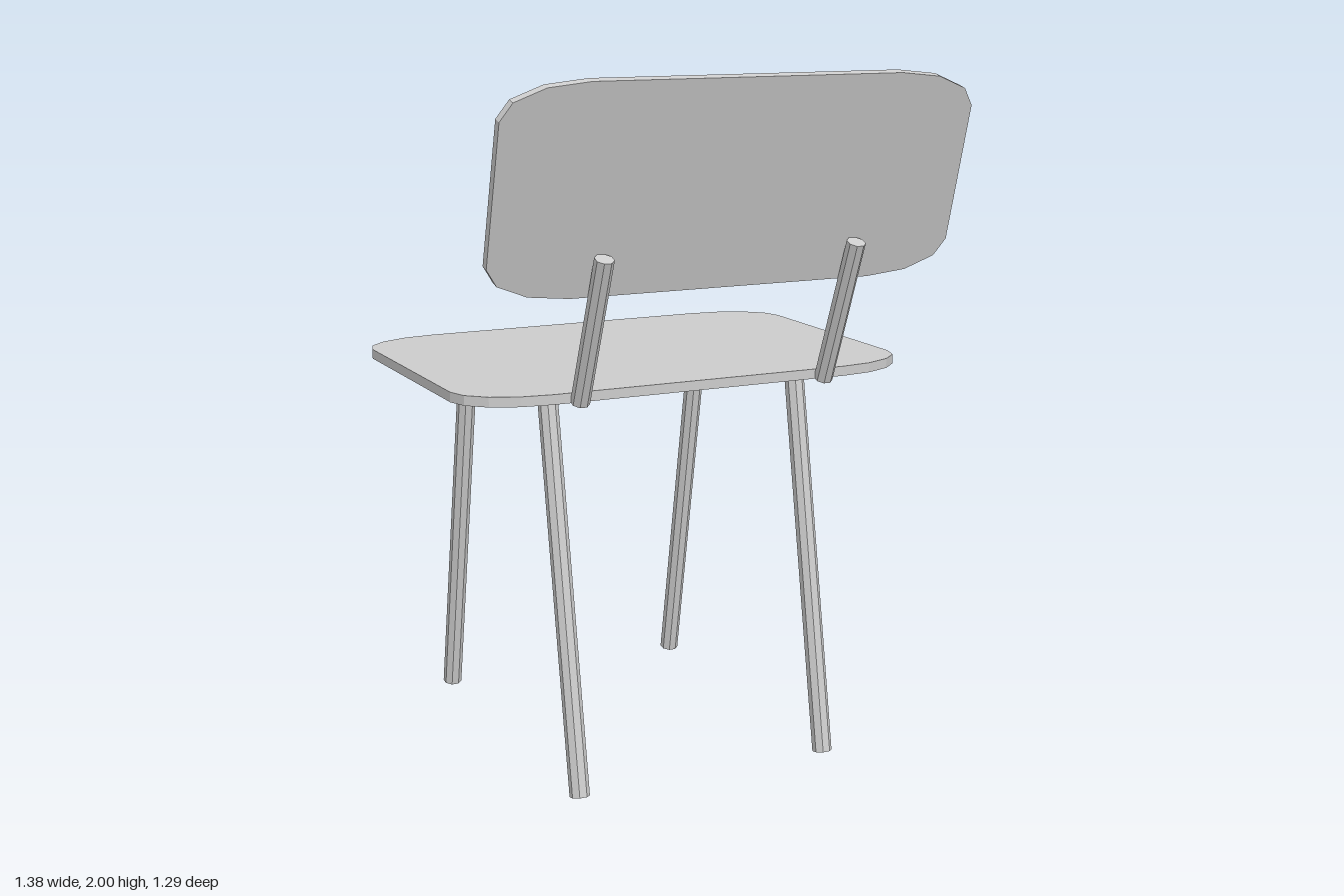
import * as THREE from 'three';

const material = new THREE.MeshStandardMaterial({ color: 0xcccccc, flatShading: true });

// Flat panel with elliptical corners, centred on its own origin, thickness along z
function panel(name, width, height, thickness, rx, ry, segments) {
  const points = [];
  const corners = [[1, 1], [-1, 1], [-1, -1], [1, -1]];
  corners.forEach(([sx, sy], corner) => {
    for (let i = 0; i <= segments; i++) {
      const a = (corner + i / segments) * Math.PI / 2;
      points.push(new THREE.Vector2(
        sx * (width / 2 - rx) + rx * Math.cos(a),
        sy * (height / 2 - ry) + ry * Math.sin(a)));
    }
  });
  const geometry = new THREE.ExtrudeGeometry(new THREE.Shape(points), { depth: thickness, bevelEnabled: false });
  geometry.translate(0, 0, -thickness / 2);
  const mesh = new THREE.Mesh(geometry, material);
  mesh.name = name;
  return mesh;
}

// Eight-sided rod between two points
function rod(name, from, to, radius) {
  const a = new THREE.Vector3(...from);
  const b = new THREE.Vector3(...to);
  const direction = b.clone().sub(a);
  const geometry = new THREE.CylinderGeometry(radius, radius, direction.length(), 8);
  geometry.rotateY(Math.PI / 8);
  const mesh = new THREE.Mesh(geometry, material);
  mesh.position.copy(a).add(b).multiplyScalar(0.5);
  mesh.quaternion.setFromUnitVectors(new THREE.Vector3(0, 1, 0), direction.normalize());
  mesh.name = name;
  return mesh;
}

export function createModel() {
  const chair = new THREE.Group();
  chair.name = 'chair';

  // Seat
  const seat = panel('seat', 1.38, 0.972, 0.028, 0.24, 0.15, 4);
  seat.rotation.x = -Math.PI / 2;
  seat.position.set(0, 1.135, -0.111);
  chair.add(seat);

  // Backrest, leaning away from the seat
  const backrest = panel('backrest', 1.38, 0.589, 0.026, 0.24, 0.098, 3);
  backrest.rotation.x = 0.27;
  backrest.position.set(0, 1.7125, 0.553);
  chair.add(backrest);

  // Splayed legs
  for (const [side, x] of [['right', -0.4], ['left', 0.38]]) {
    chair.add(rod(side + 'LegBackrestSide', [x, 0.005, 0.413], [x, 1.128, 0.205], 0.0285));
    chair.add(rod(side + 'LegOpenSide', [x, 0.005, -0.616], [x, 1.128, -0.408], 0.0285));
  }

  // Uprights carrying the backrest
  for (const [side, x] of [['right', -0.375], ['left', 0.38]]) {
    chair.add(rod(side + 'Upright', [x, 1.12, 0.378], [x, 1.532, 0.542], 0.027));
  }
  return chair;
}
